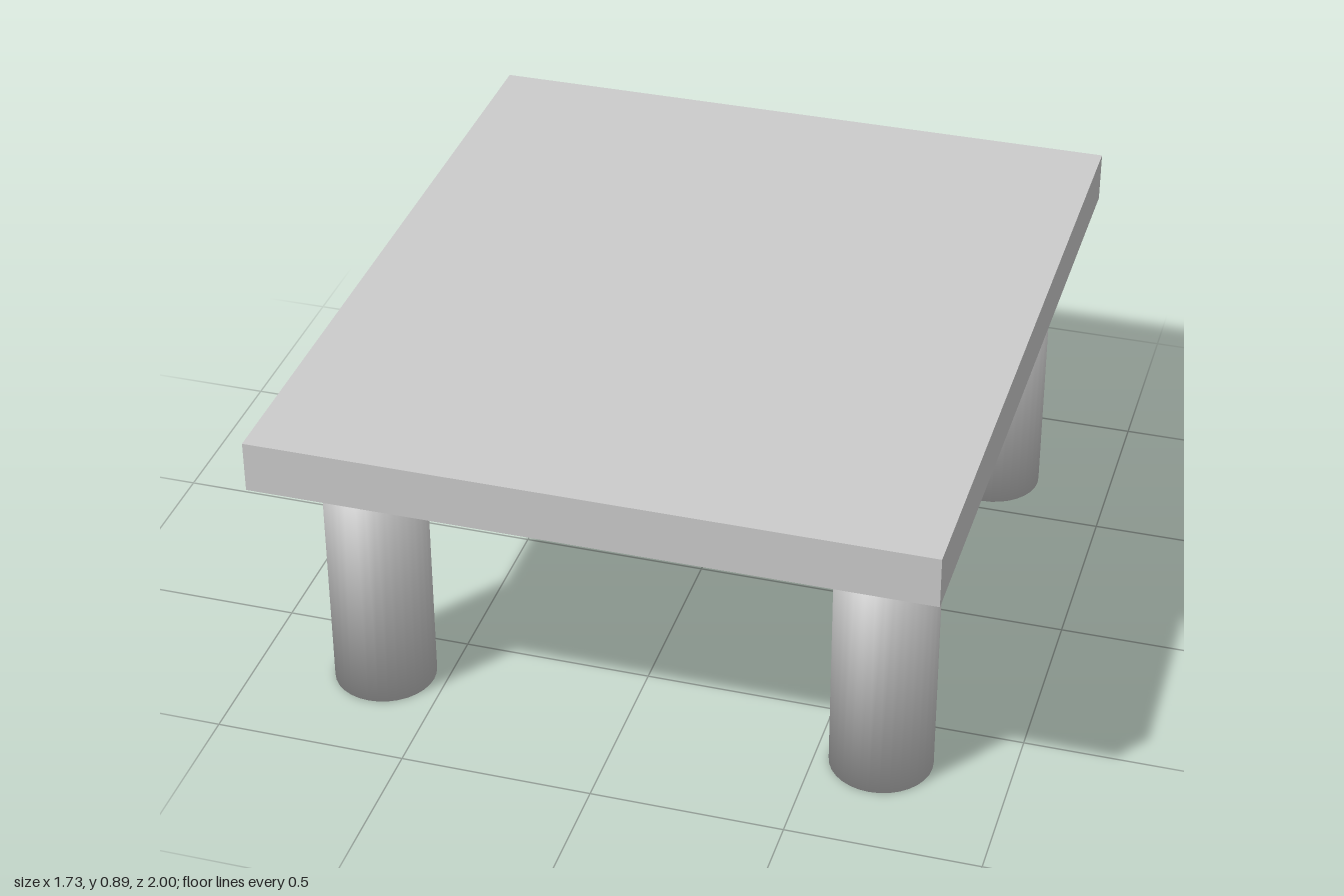
import * as THREE from 'three';

const material = new THREE.MeshStandardMaterial({ color: 0xcccccc });

const TOP_Y = 0.89, LEG_H = 0.755, LEG_R = 0.133, LEG_POS = 0.667;

// Round leg, shaded smoothly over its rims
function legGeometry() {
  const geo = new THREE.CylinderGeometry(LEG_R, LEG_R, LEG_H, 32);
  const { position, normal } = geo.attributes;
  const n = new THREE.Vector3();
  for (let i = 0; i < position.count; i++) {
    n.fromBufferAttribute(position, i);
    n.set(n.x / LEG_R, Math.sign(n.y), n.z / LEG_R).normalize();
    normal.setXYZ(i, n.x, n.y, n.z);
  }
  return geo.translate(0, LEG_H / 2, 0);
}

export function createModel() {
  const table = new THREE.Group();
  table.name = 'table';

  // Flat slab top
  const thickness = TOP_Y - LEG_H;
  const top = new THREE.Mesh(new THREE.BoxGeometry(1.73, thickness, 2), material);
  top.name = 'tableTop';
  top.position.y = LEG_H + thickness / 2;
  table.add(top);

  // Four legs, one near each corner
  const geo = legGeometry();
  for (const [sx, side] of [[1, 'Left'], [-1, 'Right']]) {
    for (const [sz, end] of [[1, 'front'], [-1, 'back']]) {
      const leg = new THREE.Mesh(geo, material);
      leg.name = `${end}${side}Leg`;
      leg.position.set(sx * LEG_POS, 0, sz * LEG_POS);
      table.add(leg);
    }
  }
  return table;
}
